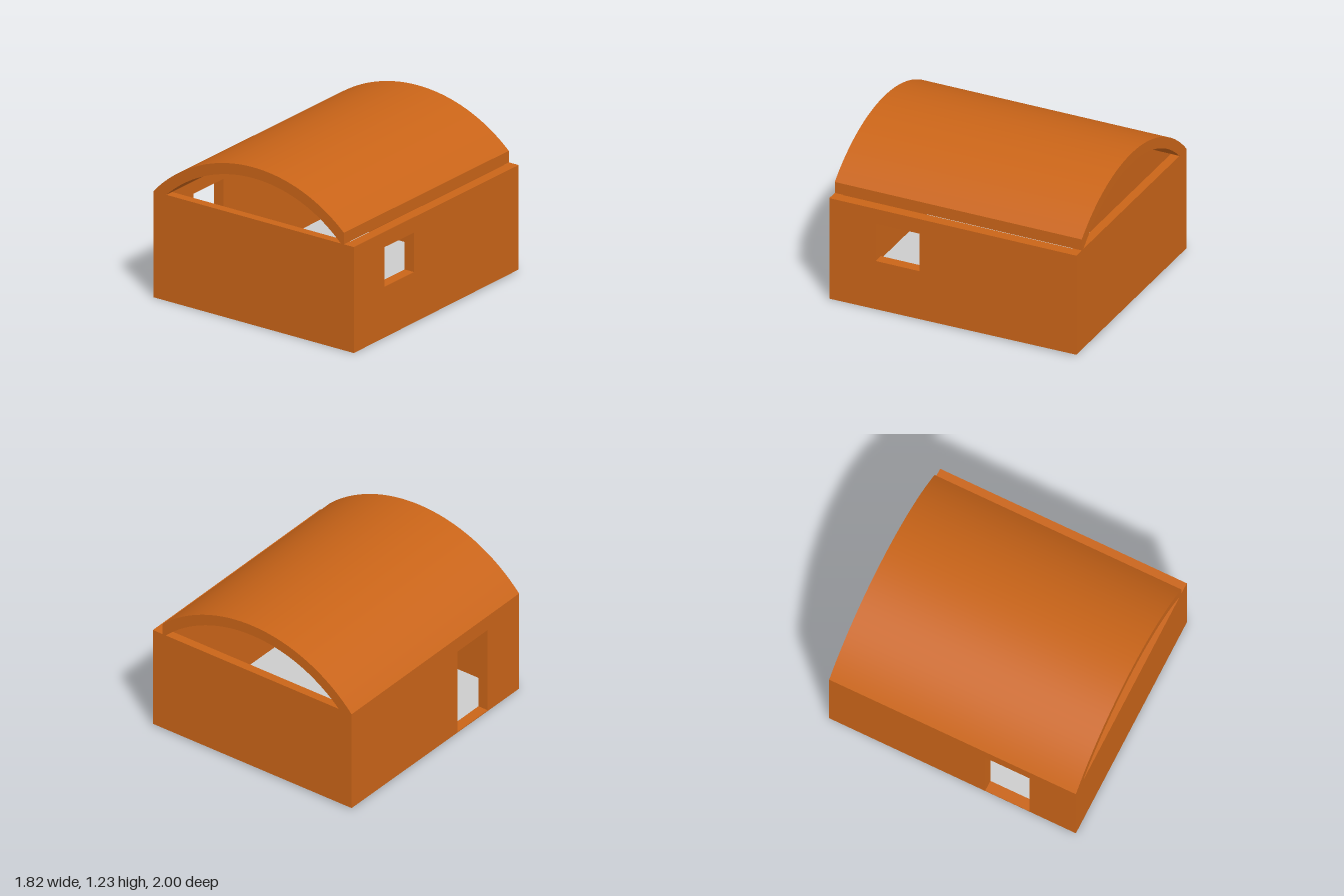
import * as THREE from 'three';
import { toCreasedNormals } from 'three/addons/utils/BufferGeometryUtils.js';

const HALF_W = 0.91, WALL_H = 0.83, SIDE_T = 0.085, END_T = 0.07;
const RISE = 0.012; // the underside climbs slightly towards the back

export function createModel() {
  const group = new THREE.Group();
  const orange = new THREE.MeshStandardMaterial({ color: 0xc96418 });
  const grey = new THREE.MeshStandardMaterial({ color: 0xcccccc });

  function add(name, geometry, material = orange) {
    const mesh = new THREE.Mesh(geometry, material);
    mesh.name = name;
    group.add(mesh);
    return mesh;
  }

  // Side wall drawn in (-z, y) with one rectangular opening
  function sideWall(name, x, z0, z1, y0, y1) {
    const shape = new THREE.Shape([
      new THREE.Vector2(-1, 0), new THREE.Vector2(1, RISE),
      new THREE.Vector2(1, WALL_H), new THREE.Vector2(-1, WALL_H),
    ]);
    shape.holes.push(new THREE.Path([
      new THREE.Vector2(-z1, y0), new THREE.Vector2(-z1, y1),
      new THREE.Vector2(-z0, y1), new THREE.Vector2(-z0, y0),
    ]));
    const geometry = new THREE.ExtrudeGeometry(shape, { depth: SIDE_T, bevelEnabled: false });
    geometry.rotateY(Math.PI / 2);
    add(name, geometry).position.x = x;
  }
  sideWall('windowWall', HALF_W - SIDE_T, 0.27, 0.625, 0.4, 0.71);
  sideWall('doorWall', -HALF_W, 0.265, 0.625, 0.01, 0.71);

  // End walls between the side walls
  for (const [name, side, bottom] of [['frontWall', 1, 0], ['backWall', -1, RISE]]) {
    const h = WALL_H - bottom;
    add(name, new THREE.BoxGeometry(2 * (HALF_W - SIDE_T), h, END_T))
      .position.set(0, bottom + h / 2, side * (1 - END_T / 2));
  }

  // Underside and inner floor
  const underside = add('underside', new THREE.PlaneGeometry(2 * HALF_W, 2).rotateX(Math.PI / 2));
  const floor = add('floor',
    new THREE.PlaneGeometry(2 * (HALF_W - SIDE_T), 2 * (1 - END_T)).rotateX(-Math.PI / 2), grey);
  underside.rotation.x = floor.rotation.x = RISE / 2;
  underside.position.y = RISE / 2;
  floor.position.y = RISE / 2 + 0.002;

  // Vaulted roof: reaches the left wall's outer edge, cut short above the other wall
  const CY = 0.01, R_OUT = 1.225, R_IN = 1.14, CUT = 0.82;
  const arc = (r, a0, a1, n = 56) => Array.from({ length: n + 1 }, (_, i) => {
    const a = a0 + (a1 - a0) * i / n;
    return new THREE.Vector2(r * Math.cos(a), CY + r * Math.sin(a));
  });
  const foot = (r) => Math.asin((WALL_H - CY) / r);
  const outline = [
    new THREE.Vector2(CUT, WALL_H),
    ...arc(R_OUT, Math.acos(CUT / R_OUT), Math.PI - foot(R_OUT)),
    ...arc(R_IN, Math.PI - foot(R_IN), foot(R_IN)),
  ];
  const roof = new THREE.ExtrudeGeometry(new THREE.Shape(outline), { depth: 2, bevelEnabled: false });
  roof.translate(0, 0, -1);
  add('vaultedRoof', toCreasedNormals(roof, 0.4));

  return group;
}
